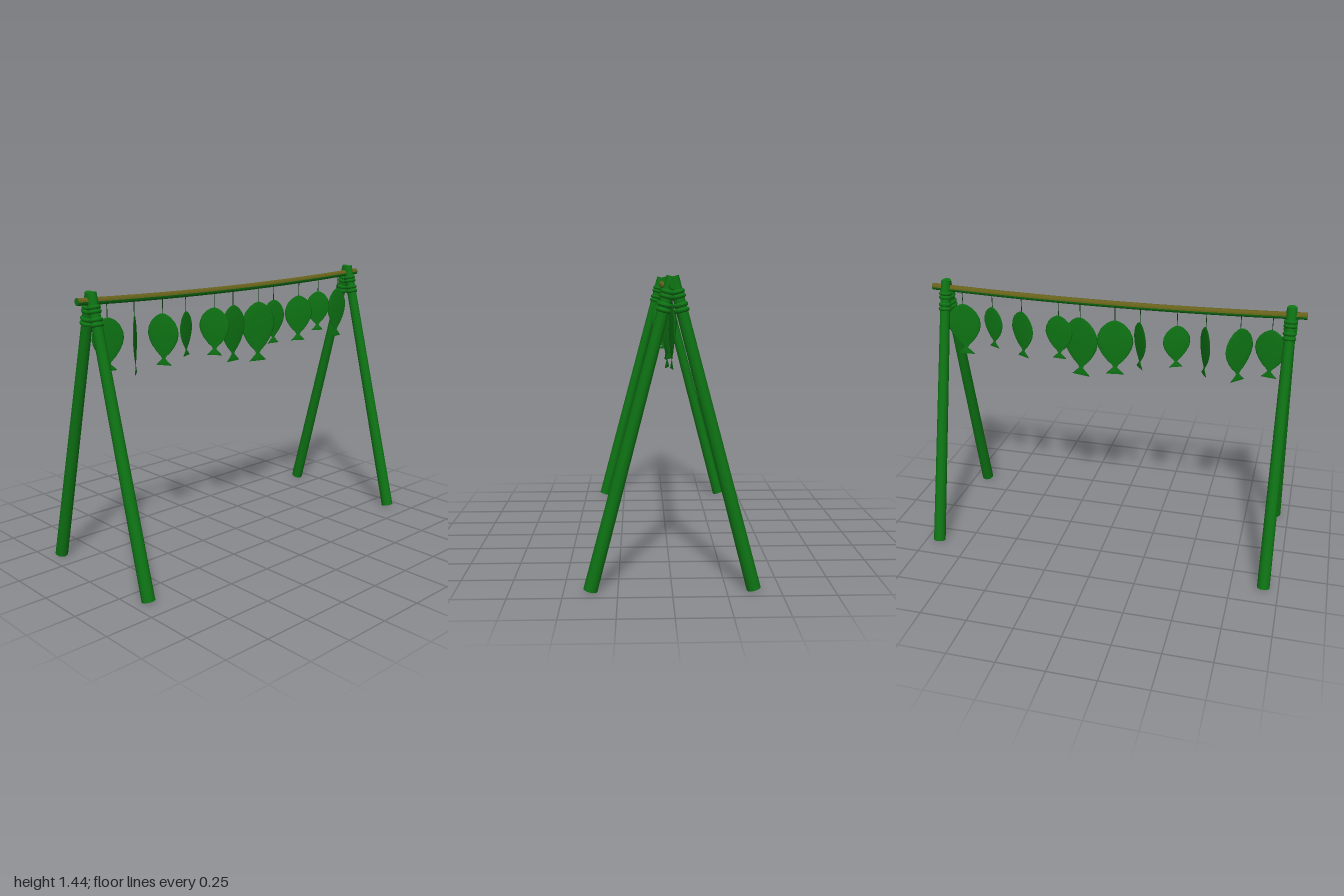
import * as THREE from 'three';

const mat = (color) => new THREE.MeshStandardMaterial({ color });
const green = mat(0x0e7414);
const railTop = mat(0x66601a);
const cord = mat(0x0c3c10);
const UP = new THREE.Vector3(0, 1, 0);

function add(parent, name, geometry, material) {
  const mesh = new THREE.Mesh(geometry, material);
  mesh.name = name;
  parent.add(mesh);
  return mesh;
}

// Height of the sagging rail's axis
const railY = (x) => 1.377 + 0.02 * Math.min(1, x * x);

// Tapered leg leaning in to the apex, with lashing rings near the top
function makeLeg(x, side) {
  const leg = new THREE.Group();
  leg.name = side > 0 ? 'frontLeg' : 'backLeg';
  const foot = new THREE.Vector3(x, 0.009, 0.376 * side);
  const head = new THREE.Vector3(x, 1.434, 0.002 * side);
  const dir = head.clone().sub(foot);
  const length = dir.length();
  leg.position.copy(foot);
  leg.quaternion.setFromUnitVectors(UP, dir.normalize());
  add(leg, 'legPole', new THREE.CylinderGeometry(0.026, 0.033, length, 12).translate(0, length / 2, 0), green);
  for (const d of [0.152, 0.128, 0.09, 0.07]) {
    const ring = add(leg, 'lashing', new THREE.TorusGeometry(0.024, 0.011, 8, 16), green);
    ring.rotation.x = Math.PI / 2;
    ring.position.y = length - d;
  }
  return leg;
}

// Flattened fish of unit length, mouth up at the origin and tail down
const fishProfile = [
  [0, -0.985], [0.165, -1], [0.10, -0.935], [0.035, -0.872], [0.06, -0.825], [0.14, -0.75],
  [0.225, -0.64], [0.29, -0.52], [0.32, -0.4], [0.305, -0.28], [0.25, -0.165],
  [0.16, -0.07], [0.07, -0.018], [0, 0],
].map(([x, y]) => new THREE.Vector2(x, y));
const fishGeometry = new THREE.LatheGeometry(fishProfile, 16).scale(1, 1, 0.055);

// x, mouth height, length, turn in degrees
const fishes = [
  [-0.835, 1.31, 0.26, -12], [-0.676, 1.305, 0.29, 48], [-0.5, 1.295, 0.265, -64],
  [-0.35, 1.29, 0.23, 25], [-0.155, 1.29, 0.255, -55], [-0.02, 1.29, 0.305, 6],
  [0.17, 1.29, 0.33, -14], [0.29, 1.29, 0.245, -6], [0.497, 1.295, 0.26, -28],
  [0.663, 1.305, 0.23, -27], [0.834, 1.31, 0.29, 6],
];

export function createModel() {
  const model = new THREE.Group();
  model.name = 'fishDryingRack';

  // A-frame at each end
  for (const x of [-0.922, 0.922]) {
    const frame = new THREE.Group();
    frame.name = x > 0 ? 'leftFrame' : 'rightFrame';
    frame.add(makeLeg(x, 1), makeLeg(x, -1));
    model.add(frame);
  }

  // Sagging rail: upper and lower halves, then the end caps
  const rail = new THREE.Group();
  rail.name = 'rail';
  model.add(rail);
  const halfRail = (name, start, material) => {
    const g = new THREE.CylinderGeometry(0.018, 0.018, 2, 8, 16, true, start, Math.PI).rotateZ(Math.PI / 2);
    const p = g.attributes.position;
    for (let i = 0; i < p.count; i++) p.setY(i, p.getY(i) + railY(p.getX(i)));
    g.computeVertexNormals();
    add(rail, name, g, material);
  };
  halfRail('railUpper', 0, railTop);
  halfRail('railLower', Math.PI, green);
  for (const s of [-1, 1]) {
    const cap = add(rail, 'railEnd', new THREE.CircleGeometry(0.018, 16), green);
    cap.rotation.y = s * Math.PI / 2;
    cap.position.set(s, railY(1), 0);
  }

  // Hanging fish, each on its string
  for (const [x, y, size, turn] of fishes) {
    const hanger = new THREE.Group();
    hanger.name = 'hangingFish';
    hanger.position.set(x, y, 0);
    const drop = railY(x) - y;
    add(hanger, 'string', new THREE.CylinderGeometry(0.002, 0.002, drop, 6).translate(0, drop / 2, 0), cord);
    const fish = add(hanger, 'fish', fishGeometry, green);
    fish.scale.setScalar(size);
    fish.rotation.y = THREE.MathUtils.degToRad(turn);
    model.add(hanger);
  }
  return model;
}
